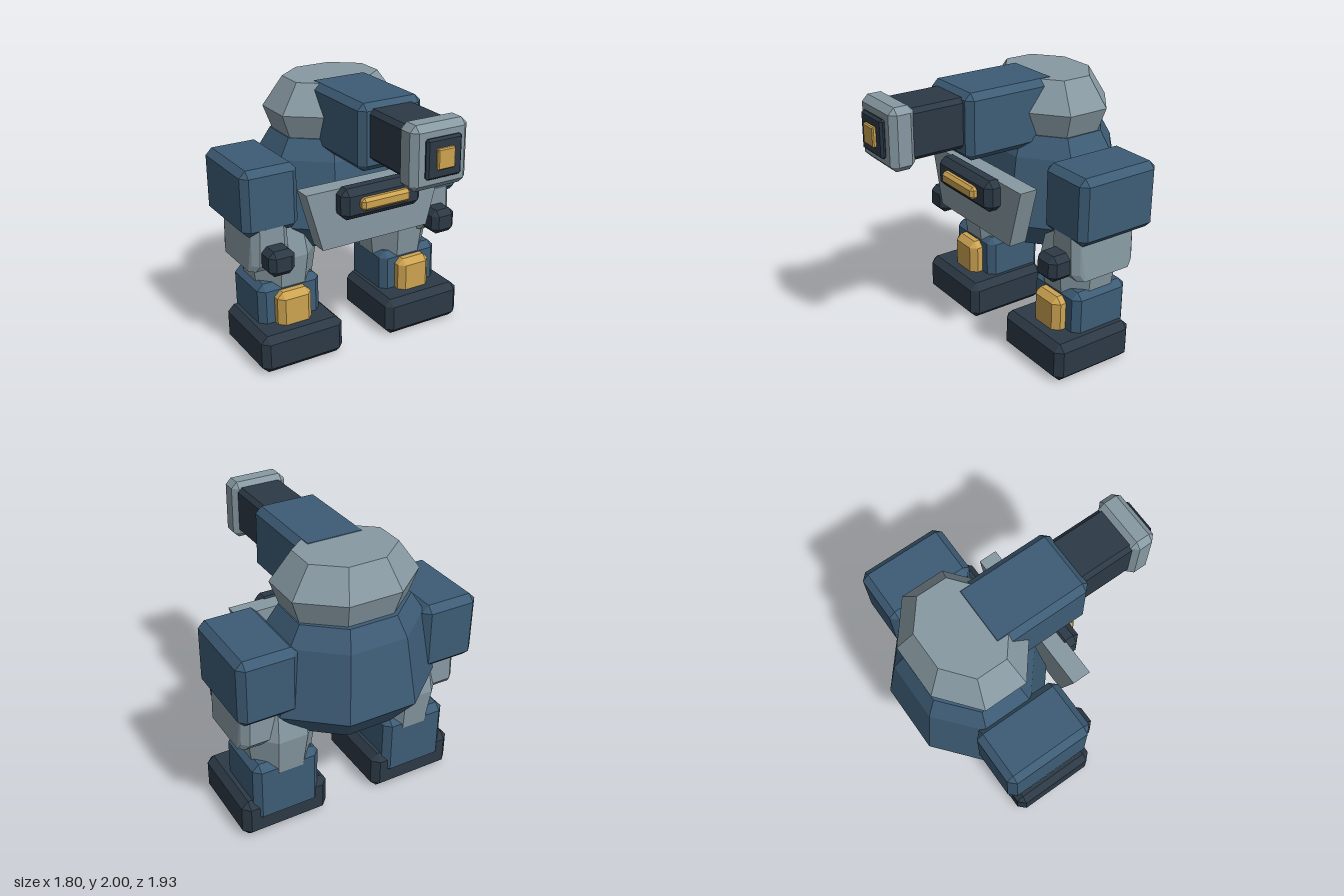
import * as THREE from 'three';
import { ConvexGeometry } from 'three/addons/geometries/ConvexGeometry.js';

const mat = (name, color) => {
  const m = new THREE.MeshStandardMaterial({ color, flatShading: true });
  m.name = name;
  return m;
};

// Box given by its limits, with every edge and corner cut off by c
function chamferBox([x0, x1], [y0, y1], [z0, z1], c) {
  const pts = [];
  for (const i of [0, 1]) for (const j of [0, 1]) for (const k of [0, 1]) {
    const p = [[x0, x1][i], [y0, y1][j], [z0, z1][k]];
    const inward = [i ? -c : c, j ? -c : c, k ? -c : c];
    for (let keep = 0; keep < 3; keep++) {
      pts.push(new THREE.Vector3(...p.map((v, a) => (a === keep ? v : v + inward[a]))));
    }
  }
  return new ConvexGeometry(pts);
}

// Eight-sided turned body with flat sides on the axes; profile is [half width, y]
function octagonBody(profile, depthScale, x, z) {
  const k = 1 / Math.cos(Math.PI / 8);
  const pts = profile.map(([r, y]) => new THREE.Vector2(r * k, y));
  pts.unshift(new THREE.Vector2(0, profile[0][1]));
  pts.push(new THREE.Vector2(0, profile[profile.length - 1][1]));
  const g = new THREE.LatheGeometry(pts, 8, Math.PI / 8).toNonIndexed();
  g.scale(1, 1, depthScale);
  g.translate(x, 0, z);
  g.computeVertexNormals();
  return g;
}

// Convex column through corner-cut rectangles: [y, x0, x1, z0, z1, c]
function column(rings) {
  const pts = [];
  for (const [y, x0, x1, z0, z1, c] of rings) {
    for (const [x, dx] of [[x0, c], [x1, -c]]) for (const [z, dz] of [[z0, c], [z1, -c]]) {
      pts.push(new THREE.Vector3(x + dx, y, z), new THREE.Vector3(x, y, z + dz));
    }
  }
  return new ConvexGeometry(pts);
}

export function createModel() {
  const blue = mat('blue armour', 0x3d5c75);
  const grey = mat('light grey', 0x8799a2);
  const dark = mat('dark steel', 0x2c3945);
  const gold = mat('gold', 0xcca351);

  const model = new THREE.Group();
  model.name = 'walkerRobot';
  const add = (name, geometry, material, parent = model) => {
    const mesh = new THREE.Mesh(geometry, material);
    mesh.name = name;
    parent.add(mesh);
  };

  // Body and dome head
  add('torso', octagonBody([[0.41, 0.79], [0.6, 1.0], [0.505, 1.48], [0.42, 1.62]], 0.835, 0, -0.465), blue);
  add('head', octagonBody([[0.4, 1.59], [0.47, 1.79], [0.33, 1.997]], 0.8, 0, -0.455), grey);

  // Cannon on the head
  add('cannonHousing', chamferBox([-0.245, 0.245], [1.535, 2], [-0.37, 0.365], 0.045), blue);
  add('cannonBarrel', chamferBox([-0.178, 0.178], [1.615, 1.965], [0.2, 0.8], 0.03), dark);
  add('muzzle', chamferBox([-0.212, 0.212], [1.57, 1.999], [0.73, 0.91], 0.042), grey);
  add('muzzlePlate', chamferBox([-0.132, 0.132], [1.655, 1.92], [0.905, 0.945], 0.015), dark);
  add('muzzleLight', chamferBox([-0.065, 0.065], [1.72, 1.857], [0.935, 0.968], 0.008), gold);

  // Chest plate with its light bar
  const plate = new THREE.Shape([[-0.43, 0.945], [0.43, 0.945], [0.55, 1.378], [-0.55, 1.378]]
    .map(([x, y]) => new THREE.Vector2(x, y)));
  const plateGeometry = new THREE.ExtrudeGeometry(plate, { depth: 0.135, bevelEnabled: false });
  plateGeometry.translate(0, 0, 0.032);
  add('chestPlate', plateGeometry, grey);
  add('chestLightFrame', chamferBox([-0.322, 0.322], [1.163, 1.39], [0.12, 0.273], 0.045), dark);
  add('chestLight', chamferBox([-0.196, 0.196], [1.233, 1.325], [0.245, 0.318], 0.022), gold);

  // Arms and legs, mirrored
  for (const [side, s] of [['left', 1], ['right', -1]]) {
    const span = (a, b) => (s > 0 ? [a, b] : [-b, -a]);
    const limb = (part) => {
      const g = new THREE.Group();
      g.name = side + part;
      model.add(g);
      return g;
    };

    const arm = limb('Arm');
    add('shoulder', chamferBox(span(0.47, 0.9), [1.035, 1.522], [-0.725, -0.075], 0.048), blue, arm);
    add('forearm', column([
      [1.1, ...span(0.56, 0.832), -0.62, -0.075, 0.045],
      [0.81, ...span(0.55, 0.84), -0.62, -0.08, 0.045],
      [0.76, ...span(0.545, 0.853), -0.58, -0.115, 0.04],
    ]), grey, arm);
    add('hand', chamferBox(span(0.582, 0.782), [0.768, 0.958], [-0.15, 0.072], 0.042), dark, arm);

    const leg = limb('Leg');
    add('thigh', octagonBody([[0.222, 0.5], [0.262, 0.79], [0.21, 1.08]], 1.03, s * 0.5, -0.4), grey, leg);
    add('shin', chamferBox(span(0.27, 0.77), [0.12, 0.6], [-0.63, -0.16], 0.048), blue, leg);
    add('shinGuard', chamferBox(span(0.383, 0.657), [0.2, 0.545], [-0.3, -0.07], 0.045), gold, leg);
    add('foot', chamferBox(span(0.192, 0.853), [0, 0.295], [-0.615, 0.05], 0.05), dark, leg);
  }
  return model;
}
